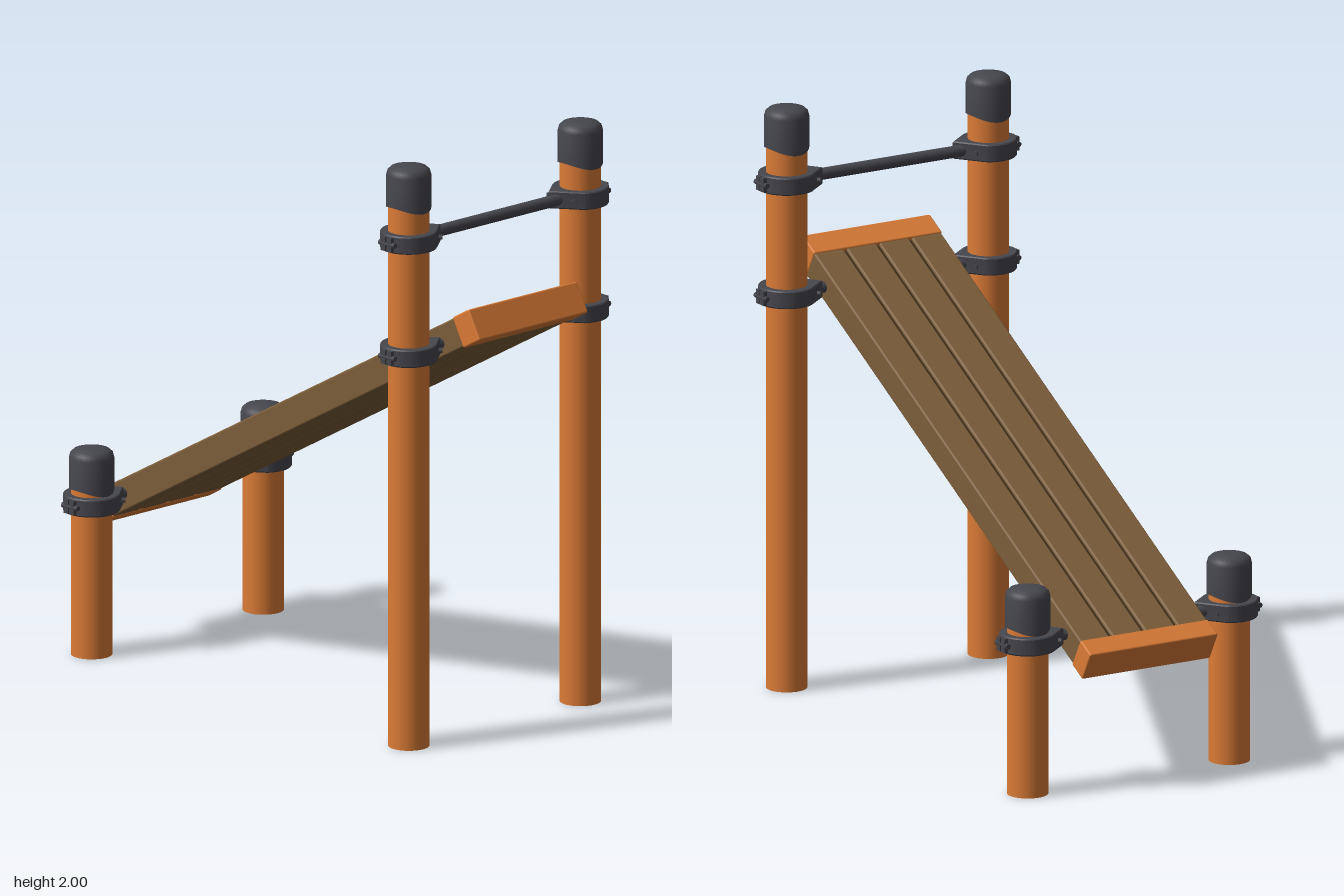
import * as THREE from 'three';
import { RoundedBoxGeometry } from 'three/addons/geometries/RoundedBoxGeometry.js';
import { toCreasedNormals } from 'three/addons/utils/BufferGeometryUtils.js';

const material = (name, color) => Object.assign(new THREE.MeshStandardMaterial({ color }), { name });

export function createModel() {
  const orange = material('orange timber', 0xdb7b36);
  const brown = material('brown plank', 0x7d5e3a);
  const darkBrown = material('groove brown', 0x3a2b1a);
  const grey = material('dark grey metal', 0x46464e);

  const model = new THREE.Group();
  model.name = 'inclinedBench';

  function add(parent, name, geometry, mat, x = 0, y = 0, z = 0) {
    const mesh = new THREE.Mesh(geometry, mat);
    mesh.name = name;
    mesh.position.set(x, y, z);
    parent.add(mesh);
    return mesh;
  }

  const POST_R = 0.069;
  const POST_Z = 0.392;

  // Post cap: domed lathe whose lower rim rises and dips gently
  const capProfile = [[0.066, 0.012], [0.075, 0.012], [0.075, 0.125], [0.071, 0.14], [0.06, 0.15], [0.035, 0.156], [0, 0.158]]
    .map(([r, y]) => new THREE.Vector2(r, y));
  let capGeo = new THREE.LatheGeometry(capProfile, 32);
  const p = capGeo.attributes.position;
  for (let i = 0; i < p.count; i++) {
    if (p.getY(i) < 0.05) {
      p.setY(i, p.getY(i) + 0.01 * Math.cos(2 * Math.atan2(p.getX(i), p.getZ(i))));
    }
  }
  capGeo = toCreasedNormals(capGeo, 0.7);

  // Clamp collar: teardrop ring tapering towards the bench
  const tear = new THREE.Shape();
  const a = 0.61;
  tear.moveTo(-0.02, 0.122);
  tear.absarc(0, 0, 0.092, Math.PI - a, Math.PI * 2 + a, false);
  tear.lineTo(0.02, 0.122);
  tear.closePath();
  const hole = new THREE.Path();
  hole.absarc(0, 0, POST_R - 0.002, 0, Math.PI * 2, true);
  tear.holes.push(hole);
  let collarGeo = new THREE.ExtrudeGeometry(tear, {
    depth: 0.052, curveSegments: 32, bevelEnabled: true,
    bevelSize: 0.003, bevelThickness: 0.004, bevelSegments: 1,
  });
  collarGeo.translate(0, 0, -0.026);
  collarGeo.rotateX(-Math.PI / 2);
  collarGeo = toCreasedNormals(collarGeo, 0.5);

  const lugGeo = new THREE.BoxGeometry(0.022, 0.048, 0.026);
  const boltGeo = new THREE.CylinderGeometry(0.009, 0.009, 0.074, 12).rotateZ(Math.PI / 2);
  const pinGeo = new THREE.CylinderGeometry(0.019, 0.019, 0.075, 16).rotateX(Math.PI / 2);
  const sideBolt = new THREE.CylinderGeometry(0.009, 0.009, 0.012, 6).rotateX(Math.PI / 2);

  function addCollar(parent, y) {
    const collar = new THREE.Group();
    collar.name = 'clampCollar';
    collar.position.y = y;
    parent.add(collar);
    add(collar, 'collarRing', collarGeo, grey);
    for (const s of [-1, 1]) {
      add(collar, 'clampLug', lugGeo, grey, s * 0.0135, 0, 0.092);
      const head = add(collar, 'collarBolt', sideBolt, grey, s * 0.061, 0, -0.088);
      head.rotation.y = -s * 0.69;
    }
    add(collar, 'clampBolt', boltGeo, grey, 0, 0, 0.097);
    add(collar, 'mountingPin', pinGeo, grey, 0, 0, -0.122);
  }

  // Posts: a short pair at the low end and a tall pair at the high end
  const postTypes = [
    { x: -0.775, top: 0.712, collars: [0.525] },
    { x: 0.75, top: 2, collars: [1.355, 1.745] },
  ];
  for (const { x, top, collars } of postTypes) {
    for (const side of [1, -1]) {
      const post = new THREE.Group();
      post.name = top > 1 ? 'tallPost' : 'shortPost';
      post.position.set(x, 0, side * POST_Z);
      if (side < 0) post.rotation.y = Math.PI;
      model.add(post);
      const h = top - 0.06;
      add(post, 'postShaft', new THREE.CylinderGeometry(POST_R, POST_R, h, 32), orange, 0, h / 2, 0);
      add(post, 'postCap', capGeo, grey, 0, top - 0.158, 0);
      collars.forEach((y) => addCollar(post, y));
    }
  }

  // Crossbar between the tall posts
  add(model, 'crossbar', new THREE.CylinderGeometry(0.02, 0.02, 0.56, 20).rotateX(Math.PI / 2), grey, 0.75, 1.745, 0);

  // Sloping board: four planks between two end boards
  const board = new THREE.Group();
  board.name = 'slopingBoard';
  board.position.y = 0.948;
  board.rotation.z = 0.505;
  model.add(board);

  const HALF = 1.043, LOW = 0.075, HIGH = 0.09;
  const length = 2 * HALF - LOW - HIGH;
  const mid = (LOW - HIGH) / 2;
  const plankGeo = new RoundedBoxGeometry(length + 0.02, 0.102, 0.115, 2, 0.007);
  for (let i = 0; i < 4; i++) {
    add(board, 'plank', plankGeo, brown, mid, 0, (i - 1.5) * 0.1265);
  }
  add(board, 'grooveCore', new THREE.BoxGeometry(length, 0.08, 0.48), darkBrown, mid, 0, 0);
  add(board, 'lowEndBoard', new RoundedBoxGeometry(LOW, 0.11, 0.498, 2, 0.006), orange, -HALF + LOW / 2, 0, 0);
  add(board, 'highEndBoard', new RoundedBoxGeometry(HIGH, 0.11, 0.498, 2, 0.006), orange, HALF - HIGH / 2, 0, 0);

  return model;
}
